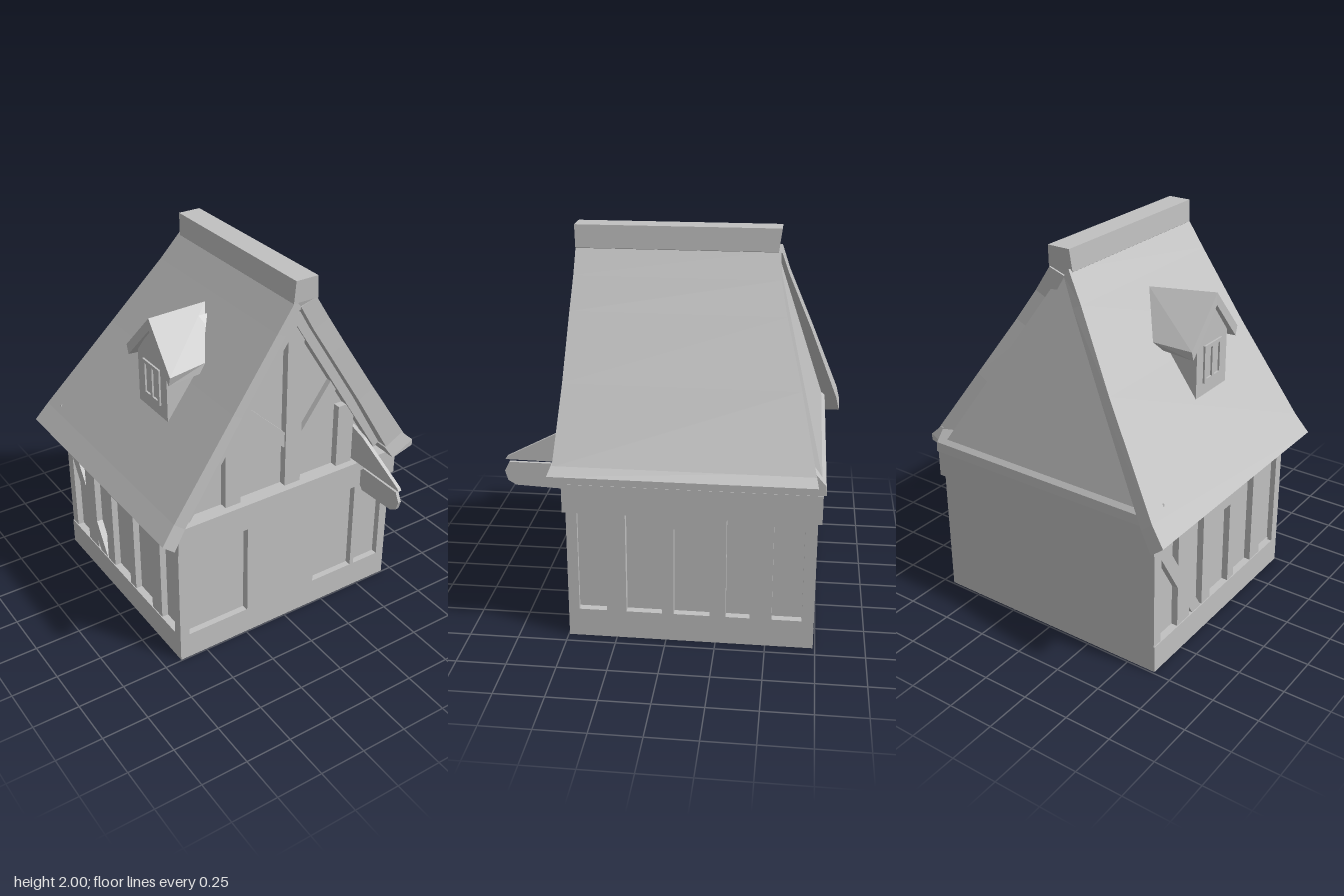
import * as THREE from 'three';

const stone = new THREE.MeshStandardMaterial({ color: 0xc0c0c0 });
stone.name = 'plain grey';

// Closed flat-faced solid through convex rings of [x, y, z] points
function loft(rings) {
  const n = rings[0].length, tris = [];
  for (let r = 0; r < rings.length - 1; r++) {
    for (let i = 0; i < n; i++) {
      const j = (i + 1) % n;
      const a = rings[r][i], b = rings[r][j], c = rings[r + 1][j], d = rings[r + 1][i];
      tris.push([a, b, c], [a, c, d]);
    }
  }
  const first = rings[0], last = rings[rings.length - 1];
  for (let i = 1; i < n - 1; i++) {
    tris.push([first[0], first[i + 1], first[i]], [last[0], last[i], last[i + 1]]);
  }
  // Turn all faces outward by the sign of the enclosed volume
  const v = (p) => new THREE.Vector3(...p);
  const volume = tris.reduce((s, [a, b, c]) => s + v(a).dot(v(b).cross(v(c))), 0);
  const ordered = volume < 0 ? tris.map(([a, b, c]) => [a, c, b]) : tris;
  const geo = new THREE.BufferGeometry();
  geo.setAttribute('position', new THREE.Float32BufferAttribute(ordered.flat(2), 3));
  geo.computeVertexNormals();
  return geo;
}

export function createModel() {
  const house = new THREE.Group();
  house.name = 'cottage';

  function add(name, geo) {
    const mesh = new THREE.Mesh(geo, stone);
    mesh.name = name;
    house.add(mesh);
    return mesh;
  }
  // Box from its lower and upper limits
  function block(name, x0, x1, y0, y1, z0, z1) {
    const mesh = add(name, new THREE.BoxGeometry(x1 - x0, y1 - y0, z1 - z0));
    mesh.position.set((x0 + x1) / 2, (y0 + y1) / 2, (z0 + z1) / 2);
    return mesh;
  }
  // Timber on the front, between two points of its centre line
  function frontBeam(name, x0, y0, x1, y1, width, z0, z1) {
    const mesh = add(name, new THREE.BoxGeometry(width, Math.hypot(x1 - x0, y1 - y0), z1 - z0));
    mesh.position.set((x0 + x1) / 2, (y0 + y1) / 2, (z0 + z1) / 2);
    mesh.rotation.z = -Math.atan2(x1 - x0, y1 - y0);
  }

  // Ground storey
  block('foundation', -0.655, 0.69, 0, 0.15, -0.74, 0.495);
  block('lowerWalls', -0.615, 0.65, 0.15, 0.69, -0.74, 0.46);
  block('upperBand', -0.66, 0.705, 0.69, 0.84, -0.76, 0.51);

  // Side posts: [front z, back z]
  const posts = [[0.495, 0.46], [0.3, 0.2], [0.02, -0.04], [-0.22, -0.3], [-0.42, -0.53], [-0.68, -0.74]];
  for (const [zf, zb] of posts) {
    block('rightPost', 0.64, 0.69, 0.15, 0.69, zb, zf);
    block('leftPost', -0.65, -0.6, 0.15, 0.69, zb, zf);
  }
  block('rightDoorLintel', 0.64, 0.69, 0.62, 0.69, -0.22, -0.04);
  block('leftDoorLintel', -0.65, -0.6, 0.62, 0.69, -0.22, -0.04);
  const sideBrace = (x, z, y) => [[x, y, z - 0.04], [x, y, z + 0.04], [x + 0.04, y, z + 0.04], [x + 0.04, y, z - 0.04]];
  add('leftBrace', loft([sideBrace(-0.65, -0.35, 0.15), sideBrace(-0.65, -0.68, 0.69)]));

  // Front posts and entrance
  for (const [x0, x1] of [[-0.655, -0.63], [0.45, 0.475], [0.67, 0.69]]) {
    block('frontPost', x0, x1, 0.15, 0.69, 0.44, 0.495);
  }
  block('entrance', -0.245, 0.185, 0.15, 0.69, 0.44, 0.5);
  add('entranceBracket', loft([0.45, 0.5].map((z) => [[0.185, 0.6, z], [0.34, 0.69, z], [0.185, 0.69, z]])));

  // Attic with an upright front and a leaning back
  add('attic', loft([
    [[-0.64, 0.84, 0.43], [0.66, 0.84, 0.43], [0.03, 1.86, 0.43]],
    [[-0.66, 0.84, -0.77], [0.69, 0.84, -0.77], [0.05, 1.88, -0.49]],
  ]));
  add('backLedge', loft([-0.68, 0.7].map((x) => [
    [x, 0.84, -0.7], [x, 0.84, -0.775], [x, 0.89, -0.77], [x, 0.96, -0.71],
  ])));

  // Front gable timbers
  frontBeam('gablePost', 0.048, 0.84, 0.048, 1.78, 0.096, 0.42, 0.47);
  frontBeam('gablePost', -0.315, 0.84, -0.315, 1.3, 0.09, 0.42, 0.47);
  frontBeam('gablePost', 0.38, 0.84, 0.38, 1.2, 0.1, 0.42, 0.47);
  frontBeam('gableBrace', 0.02, 1.09, -0.27, 1.37, 0.065, 0.42, 0.46);
  frontBeam('gableBrace', 0.08, 1.04, 0.32, 1.37, 0.065, 0.42, 0.46);
  frontBeam('gableRafter', 0.03, 1.78, -0.6, 0.86, 0.06, 0.42, 0.48);
  frontBeam('gableRafter', 0.04, 1.8, 0.6, 0.9, 0.06, 0.42, 0.48);

  // Roof slopes, rows of [outer x, outer y, inner x, inner y, back z, front z]
  const slope = (rows) => loft(rows.map(([xo, yo, xi, yi, zb, zf]) => [
    [xo, yo, zb], [xo, yo, zf], [xi, yi, zf], [xi, yi, zb],
  ]));
  add('leftRoof', slope([
    [0, 1.9, 0.03, 1.86, -0.515, 0.52],
    [-0.1, 1.755, -0.05, 1.73, -0.555, 0.52],
    [-0.35, 1.4, -0.3, 1.37, -0.68, 0.525],
    [-0.7, 0.92, -0.64, 0.87, -0.84, 0.545],
    [-0.775, 0.825, -0.71, 0.77, -0.86, 0.56],
  ]));
  add('rightRoof', slope([
    [0.12, 1.89, 0.03, 1.86, -0.51, 0.52],
    [0.2, 1.76, 0.11, 1.72, -0.52, 0.52],
    [0.3, 1.6, 0.21, 1.56, -0.555, 0.525],
    [0.5, 1.29, 0.41, 1.24, -0.64, 0.53],
    [0.73, 0.94, 0.62, 0.88, -0.725, 0.545],
  ]));
  add('rightEave', slope([
    [0.71, 0.96, 0.6, 0.9, -0.72, 0.545],
    [0.77, 0.905, 0.64, 0.835, -0.735, 0.565],
    [0.77, 0.87, 0.65, 0.835, -0.735, 0.565],
  ]));
  const ridgeRing = (x0, x1, y, zb, zf) => [[x0, y, zb], [x0, y, zf], [x1, y, zf], [x1, y, zb]];
  add('ridgeCap', loft([
    ridgeRing(0.02, 0.06, 1.84, -0.5, 0.51),
    ridgeRing(-0.012, 0.13, 1.885, -0.5, 0.52),
    ridgeRing(-0.005, 0.12, 2, -0.515, 0.525),
  ]));

  // Dormer on the left slope
  add('dormerBody', loft([-0.485, -0.15].map((x) => [
    [x, 1.16, -0.14], [x, 1.16, 0.14], [x, 1.5, 0.14], [x, 1.67, 0], [x, 1.5, -0.14],
  ])));
  for (const [z, name] of [[-0.22, 'dormerRoofBack'], [0.21, 'dormerRoofFront']]) {
    add(name, loft([
      [[-0.505, 1.5, z], [-0.5, 1.735, 0.01], [-0.5, 1.67, 0.01], [-0.505, 1.45, z * 0.93]],
      [[-0.28, 1.5, z * (z > 0 ? 0.8 : 1)], [-0.14, 1.71, -0.05], [-0.18, 1.64, -0.04], [-0.28, 1.45, z * 0.8]],
    ]));
  }
  // Dormer window frame
  for (const z of [-0.07, 0, 0.07]) block('dormerWindowBar', -0.495, -0.48, 1.29, 1.47, z - 0.01, z + 0.01);
  for (const y of [1.29, 1.47]) block('dormerWindowRail', -0.495, -0.48, y - 0.01, y + 0.01, -0.08, 0.08);

  // Hanging sign and its bracket
  const plate = (x0, x1, outline) => loft([x0, x1].map((x) => outline.map(([z, y]) => [x, y, z])));
  add('signBracket', plate(0.435, 0.455, [[0.45, 0.85], [0.85, 0.855], [0.84, 0.87], [0.55, 1.02], [0.45, 1.05]]));
  add('signBoard', plate(0.436, 0.454, [
    [0.55, 0.73], [0.57, 0.705], [0.8, 0.715], [0.84, 0.74], [0.855, 0.79], [0.83, 0.84], [0.57, 0.84], [0.55, 0.82],
  ]));
  return house;
}
